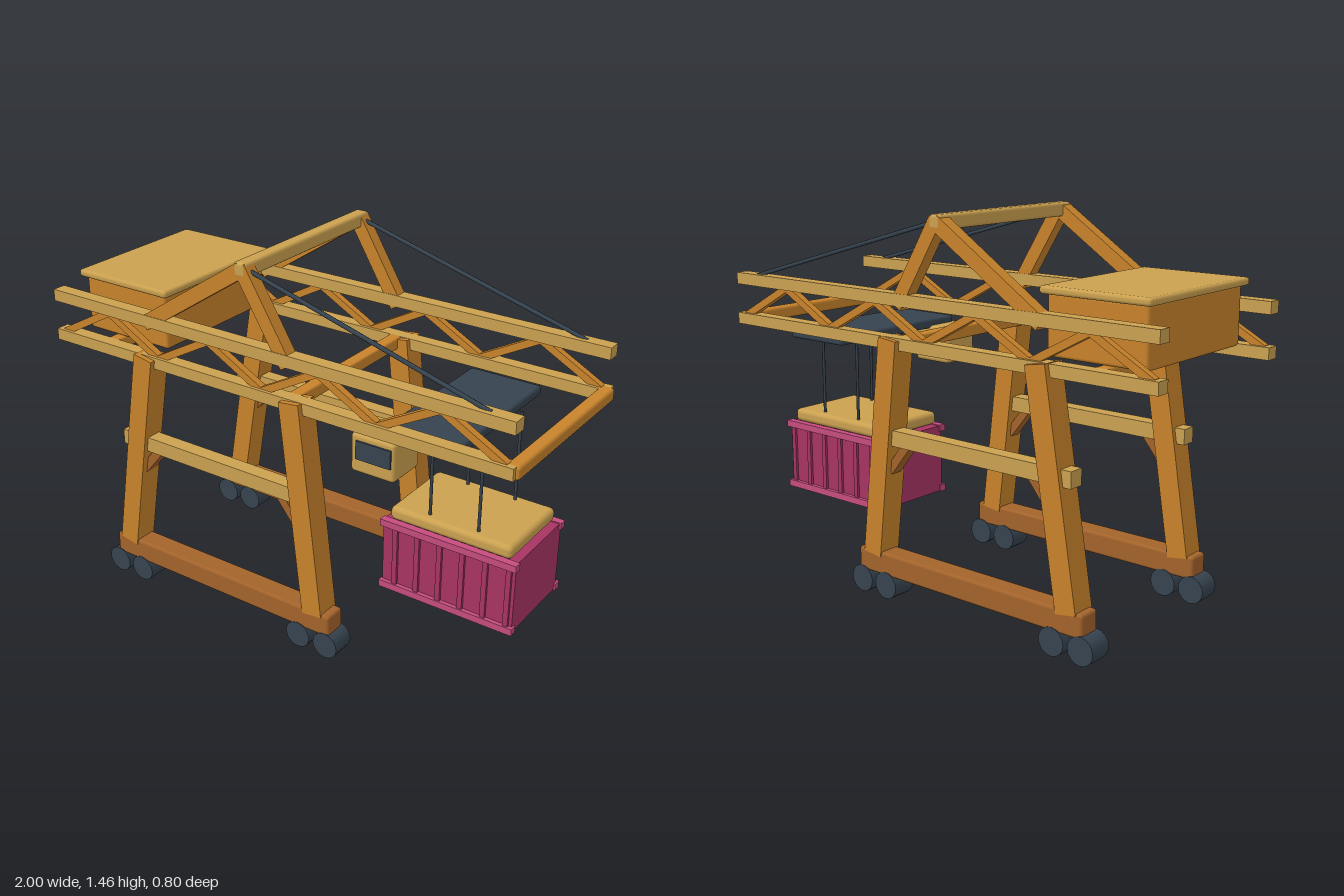
import * as THREE from 'three';
import { RoundedBoxGeometry } from 'three/addons/geometries/RoundedBoxGeometry.js';

const paint = (name, color) => {
  const m = new THREE.MeshStandardMaterial({ color });
  m.name = name;
  return m;
};

export function createModel() {
  const model = new THREE.Group();
  model.name = 'gantryCrane';
  const orange = paint('orange steel', 0xc8832b);
  const tan = paint('tan steel', 0xcba150);
  const brown = paint('brown steel', 0xa3632b);
  const dark = paint('dark slate', 0x36434f);
  const magenta = paint('magenta panel', 0xa83464);
  const pink = paint('pink frame', 0xc64c7e);

  const add = (name, geometry, material, parent = model) => {
    const mesh = new THREE.Mesh(geometry, material);
    mesh.name = name;
    parent.add(mesh);
    return mesh;
  };

  // Box given by its extents; r > 0 rounds the edges
  const block = (name, mat, [x0, x1], [y0, y1], [z0, z1], r = 0, parent = model) => {
    const s = [x1 - x0, y1 - y0, z1 - z0];
    const geo = r ? new RoundedBoxGeometry(...s, 2, r) : new THREE.BoxGeometry(...s);
    const mesh = add(name, geo, mat, parent);
    mesh.position.set((x0 + x1) / 2, (y0 + y1) / 2, (z0 + z1) / 2);
    return mesh;
  };

  // Square bar between two points of a side frame
  const bar = (name, mat, [ax, ay], [bx, by], z, thick, depth, parent = model) => {
    const mesh = add(name, new THREE.BoxGeometry(thick, Math.hypot(bx - ax, by - ay), depth), mat, parent);
    mesh.position.set((ax + bx) / 2, (ay + by) / 2, z);
    mesh.rotation.z = Math.atan2(ax - bx, by - ay);
    return mesh;
  };

  // Round cable between two points
  const cable = (name, a, b, radius) => {
    const from = new THREE.Vector3(...a), to = new THREE.Vector3(...b);
    const dir = to.clone().sub(from);
    const mesh = add(name, new THREE.CylinderGeometry(radius, radius, dir.length(), 8), dark);
    mesh.position.copy(from).add(to).multiplyScalar(0.5);
    mesh.quaternion.setFromUnitVectors(new THREE.Vector3(0, 1, 0), dir.normalize());
  };

  for (const side of [1, -1]) {
    const frame = new THREE.Group();
    frame.name = side > 0 ? 'frontFrame' : 'backFrame';
    model.add(frame);
    const z = 0.35 * side;
    const across = (w) => [z - w / 2, z + w / 2];

    // Wheels and sill
    for (const x of [-0.74, -0.618, 0.163, 0.286]) {
      const wheel = add('wheel', new THREE.CylinderGeometry(0.053, 0.053, 0.094, 16), dark, frame);
      wheel.rotation.x = Math.PI / 2;
      wheel.position.set(x, 0.053, z);
    }
    block('sillBeam', brown, [-0.745, 0.302], [0.09, 0.18], across(0.09), 0.012, frame);

    // Legs, tie beam and knee braces
    bar('rearLeg', orange, [-0.678, 0.165], [-0.538, 1], z, 0.085, 0.096, frame);
    bar('frontLeg', orange, [0.228, 0.165], [0.133, 1], z, 0.085, 0.096, frame);
    block('portalBeam', tan, [-0.68, 0.16], [0.6, 0.66], across(0.06), 0, frame);
    bar('kneeBrace', brown, [-0.6, 0.5], [-0.5, 0.62], z, 0.035, 0.045, frame);
    bar('kneeBrace', brown, [0.155, 0.5], [0.06, 0.62], z, 0.035, 0.045, frame);

    // Boom girders with zigzag lattice
    block('lowerGirder', tan, [-1, 0.985], [0.96, 1.005], across(0.054), 0, frame);
    block('upperGirder', tan, [-1, 0.983], [1.12, 1.166], across(0.054), 0, frame);
    for (let i = 0; i < 8; i++) {
      const node = (k) => [-0.97 + 0.24 * k, k % 2 ? 1.125 : 0.995];
      bar('latticeBrace', orange, node(i), node(i + 1), z, 0.028, 0.028, frame);
    }

    // Mast and stay cable
    bar('mastBackLeg', orange, [-0.54, 1.13], [-0.08, 1.43], z, 0.055, 0.05, frame);
    bar('mastFrontLeg', orange, [0.11, 1.12], [-0.085, 1.44], z, 0.055, 0.05, frame);
    cable('stayCable', [-0.07, 1.43, z], [0.885, 1.16, z], 0.008);
  }

  // Cross ties between the two frames
  block('mastHeadTie', tan, [-0.108, -0.055], [1.402, 1.456], [-0.376, 0.376], 0.012);
  block('boomEndTie', orange, [0.946, 0.998], [0.956, 1.006], [-0.362, 0.362], 0.012);
  for (const x of [-0.75, 0.11]) block('crossTie', orange, [x - 0.025, x + 0.025], [0.958, 1.006], [-0.33, 0.33], 0.008);

  // Machinery house
  block('machineHouse', orange, [-0.903, -0.505], [1.005, 1.222], [-0.29, 0.29], 0.012);
  block('machineRoof', tan, [-0.922, -0.485], [1.216, 1.245], [-0.312, 0.312], 0.012);

  // Trolley and operator cab
  block('trolley', dark, [0.45, 0.738], [0.923, 0.962], [-0.32, 0.32], 0.012);
  block('cab', tan, [0.355, 0.532], [0.787, 0.935], [0.177, 0.342], 0.014);
  block('cabWindow', dark, [0.38, 0.52], [0.842, 0.912], [0.341, 0.349]);

  // Hoist ropes and spreader
  for (const x of [0.56, 0.755]) {
    for (const z of [-0.135, 0.135]) cable('hoistRope', [x, 0.935, z], [x, 0.57, z], 0.006);
  }
  block('spreader', tan, [0.412, 0.902], [0.528, 0.582], [-0.17, 0.17], 0.02);

  // Cargo container with edge rails and ribs
  const cargo = new THREE.Group();
  cargo.name = 'container';
  model.add(cargo);
  block('containerBody', magenta, [0.39, 0.925], [0.245, 0.525], [-0.172, 0.172], 0, cargo);
  for (const s of [1, -1]) {
    const span = (a, b) => (s > 0 ? [a, b] : [-b, -a]);
    for (const y of [0.243, 0.502]) block('edgeRail', pink, [0.384, 0.932], [y, y + 0.027], span(0.158, 0.188), 0, cargo);
    for (let i = 0; i < 6; i++) {
      const x = 0.445 + i * 0.0915;
      block('rib', magenta, [x - 0.01, x + 0.01], [0.27, 0.502], span(0.17, 0.182), 0, cargo);
    }
  }
  return model;
}
